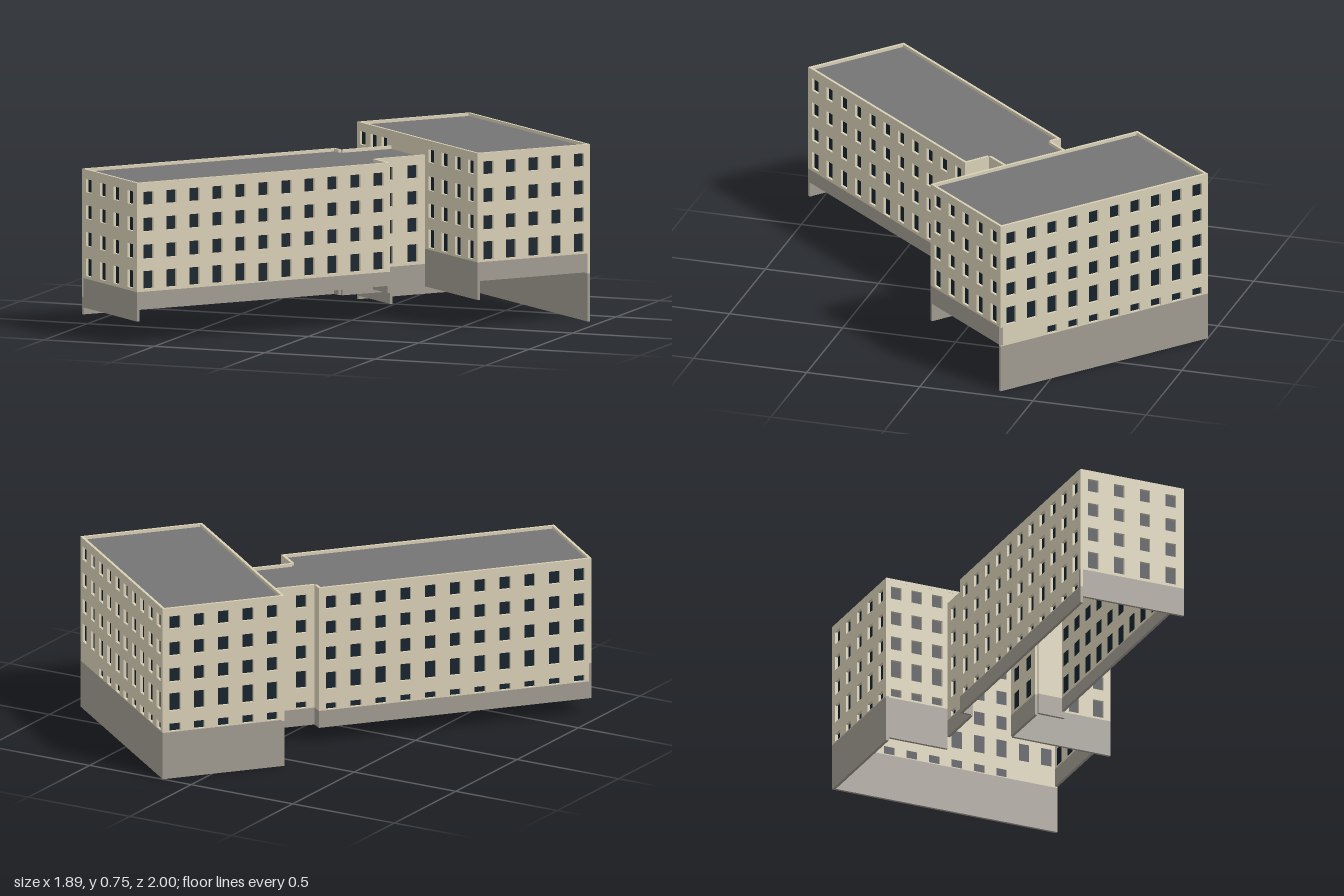
import * as THREE from 'three';
import { mergeGeometries } from 'three/addons/utils/BufferGeometryUtils.js';

const T = 0.012; // wall thickness, also the depth of the window recesses
const mat = (color) => new THREE.MeshStandardMaterial({ color, side: THREE.DoubleSide });
const wallMat = mat(0xd8cfb5), baseMat = mat(0xa09a90), roofMat = mat(0x747474), glassMat = mat(0x15222c);

// Plan corners as [x, z]
const A = [0.14, -1], B = [0.945, -0.34], C = [0.6, 0.08], D = [-0.205, -0.58];
const E = [0.015, -0.4], F = [0.25, -0.205], G = [0.1, -0.02], H = [-0.135, -0.22];
const K = [-0.175, -0.25], P1 = [-0.95, 0.69], P2 = [-0.58, 0.995], P3 = [0.195, 0.055];

// Window rows as [centre height, window height]
const blockRows = [[0.69, 0.056], [0.573, 0.06], [0.457, 0.06], [0.338, 0.078]];
const wingRows = [[0.622, 0.056], [0.51, 0.058], [0.395, 0.06], [0.275, 0.075]];
const blockLow = [0.226, 0.034], wingLow = [0.162, 0.027];
const WIN = 0.048;

function rect(Type, x0, y0, x1, y1) {
  const p = new Type();
  p.moveTo(x0, y0);
  p.lineTo(x1, y0);
  p.lineTo(x1, y1);
  p.lineTo(x0, y1);
  p.closePath();
  return p;
}

// One facade from a to b (left to right seen from outside)
function facade(name, a, b, { bottom, sill, top, rows = [], cols = 0, low, lowFrom = 0, door = -1 }) {
  const g = new THREE.Group();
  g.name = name;
  const dx = b[0] - a[0], dz = b[1] - a[1], len = Math.hypot(dx, dz);
  g.position.set(a[0], 0, a[1]);
  g.rotation.y = Math.atan2(-dz, dx);
  const slab = (shape, material, part) => {
    const geo = new THREE.ExtrudeGeometry(shape, { depth: T, bevelEnabled: false });
    geo.translate(0, 0, -T);
    const m = new THREE.Mesh(geo, material);
    m.name = part;
    g.add(m);
  };

  // Wall with recessed windows
  const wall = rect(THREE.Shape, 0, sill, len, top);
  const panes = [];
  const opening = (x, y, h) => {
    wall.holes.push(rect(THREE.Path, x - WIN / 2, y - h / 2, x + WIN / 2, y + h / 2));
    panes.push(new THREE.PlaneGeometry(WIN, h).translate(x, y, -T));
  };
  for (let i = 0; i < cols; i++) {
    const x = (i + 0.5) * len / cols;
    rows.forEach(([y, h], r) => {
      if (i === door && r === rows.length - 1) opening(x, 0.267, 0.078);
      else opening(x, y, h);
    });
    if (low && i >= lowFrom) opening(x, low[0], low[1]);
  }
  slab(wall, wallMat, 'wall');
  if (panes.length) {
    const glass = new THREE.Mesh(mergeGeometries(panes), glassMat);
    glass.name = 'windows';
    g.add(glass);
  }

  // Stone base below the wall
  if (bottom < sill) slab(rect(THREE.Shape, 0, bottom, len, sill), baseMat, 'base');
  return g;
}

// Flat roof sunk a little behind the parapet
function roof(name, pts, y) {
  const shape = new THREE.Shape(pts.map(([x, z]) => new THREE.Vector2(x, -z)));
  const m = new THREE.Mesh(new THREE.ShapeGeometry(shape).rotateX(-Math.PI / 2), roofMat);
  m.name = name;
  m.position.y = y;
  return m;
}

export function createModel() {
  const model = new THREE.Group();
  model.name = 'building';
  const block = { top: 0.755, rows: blockRows };
  const wing = { top: 0.69, rows: wingRows };

  // Tall cross block
  const tall = new THREE.Group();
  tall.name = 'tallBlock';
  tall.add(
    facade('blockBack', B, A, { ...block, bottom: 0, sill: 0.205, cols: 10, low: blockLow, lowFrom: 2 }),
    facade('blockRightEnd', A, D, { ...block, bottom: 0, sill: 0.205, cols: 5, low: blockLow }),
    facade('blockFrontRight', D, E, { ...block, bottom: 0.015, sill: 0.2, cols: 3, low: blockLow }),
    facade('blockAboveLink', E, F, { top: 0.755, bottom: 0.67, sill: 0.67 }),
    facade('blockFrontLeft', F, C, { ...block, bottom: 0.13, sill: 0.29, cols: 4 }),
    facade('blockLeftEnd', C, B, { ...block, bottom: 0.21, sill: 0.29, cols: 5 }),
    roof('blockRoof', [A, D, C, B], 0.742)
  );

  // Long wing and the narrower link joining it to the block
  const long = new THREE.Group();
  long.name = 'longWing';
  long.add(
    facade('wingEnd', P1, P2, { ...wing, bottom: 0.1, sill: 0.225, cols: 4 }),
    facade('wingLeftSide', P2, P3, { ...wing, bottom: 0.165, sill: 0.225, cols: 11, door: 5 }),
    facade('leftReturn', P3, G, { top: 0.69, bottom: 0.135, sill: 0.225 }),
    facade('linkLeftSide', G, F, { ...wing, bottom: 0.13, sill: 0.225, cols: 2 }),
    facade('linkRightSide', E, H, { ...wing, bottom: 0.07, sill: 0.145, cols: 2, low: wingLow }),
    facade('rightReturn', H, K, { top: 0.69, bottom: 0.07, sill: 0.145 }),
    facade('wingRightSide', K, P1, { ...wing, bottom: 0.07, sill: 0.145, cols: 11, low: wingLow }),
    roof('wingRoof', [P1, P2, P3, G, F, E, H, K], 0.677)
  );

  model.add(tall, long);
  return model;
}
